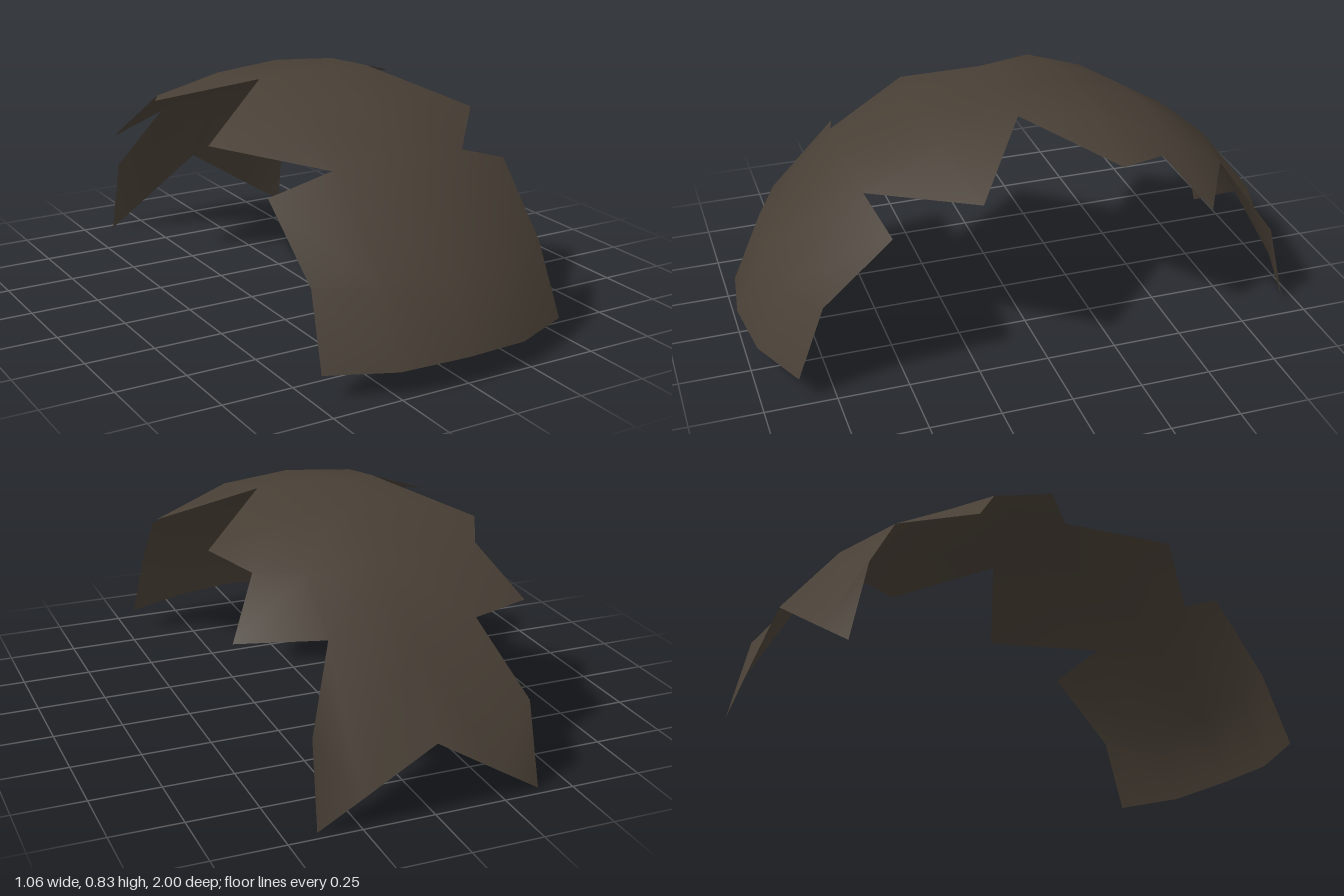
import * as THREE from 'three';
import { mergeVertices } from 'three/addons/utils/BufferGeometryUtils.js';

// Curved jagged-edged shell, thin as a sheet, mirrored about x = 0
export function createModel() {
  const fur = new THREE.MeshStandardMaterial({ color: 0x483f35, side: THREE.DoubleSide });
  fur.name = 'darkBrown';

  // Ridge line, front to back
  const c = [
    [0, 0.09, 1], [0, 0.34, 0.89], [0, 0.65, 0.6], [0, 0.78, 0.31], [0, 0.83, 0.02],
    [0, 0.805, -0.26], [0, 0.7, -0.53], [0, 0.52, -0.79], [0, 0.25, -1],
  ];
  // Line halfway down the side; it reaches the outline at the notches
  const m = [
    [0.24, 0.08, 0.97], [0.24, 0.33, 0.86], [0.255, 0.63, 0.575], [0.25, 0.76, 0.295], [0.22, 0.815, 0.02],
    [0.24, 0.785, -0.26], [0.25, 0.675, -0.51], [0.26, 0.535, -0.735], [0.24, 0.096, -0.98],
  ];
  // Outer corners and points of the jagged edge
  const e = {
    front: [0.465, 0.08, 0.87], waist: [0.445, 0.33, 0.77], shoulder: [0.465, 0.56, 0.53],
    tipA: [0.53, 0.67, 0.24], tipB: [0.495, 0.71, -0.26], notch: [0.405, 0.68, -0.44],
    tipC: [0.525, 0.505, -0.585], tailSide: [0.38, 0.29, -0.9], tailTip: [0.39, 0, -0.965],
  };

  const positions = [];
  const tri = (a, b, d) => {
    positions.push(...a, ...b, ...d);
    for (const p of [a, d, b]) positions.push(-p[0], p[1], p[2]); // mirrored side
  };
  const quad = (a, b, d, f) => { tri(a, b, d); tri(a, d, f); };

  // Central band
  for (let i = 0; i < c.length - 1; i++) quad(c[i], m[i], m[i + 1], c[i + 1]);
  // Front flap
  quad(m[0], e.front, e.waist, m[1]);
  quad(m[1], e.waist, e.shoulder, m[2]);
  // Side points
  tri(m[2], e.tipA, m[3]);
  tri(m[3], e.tipA, m[4]);
  tri(m[4], e.tipB, m[5]);
  quad(m[5], e.tipB, e.notch, m[6]);
  tri(m[6], e.notch, e.tipC);
  tri(m[6], e.tipC, m[7]);
  // Forked tail
  tri(m[7], e.tailSide, m[8]);
  tri(m[8], e.tailSide, e.tailTip);

  let geo = new THREE.BufferGeometry();
  geo.setAttribute('position', new THREE.Float32BufferAttribute(positions, 3));
  geo = mergeVertices(geo);
  geo.computeVertexNormals();

  const shell = new THREE.Mesh(geo, fur);
  shell.name = 'jaggedShell';
  const group = new THREE.Group();
  group.name = 'curvedShell';
  group.add(shell);
  return group;
}
